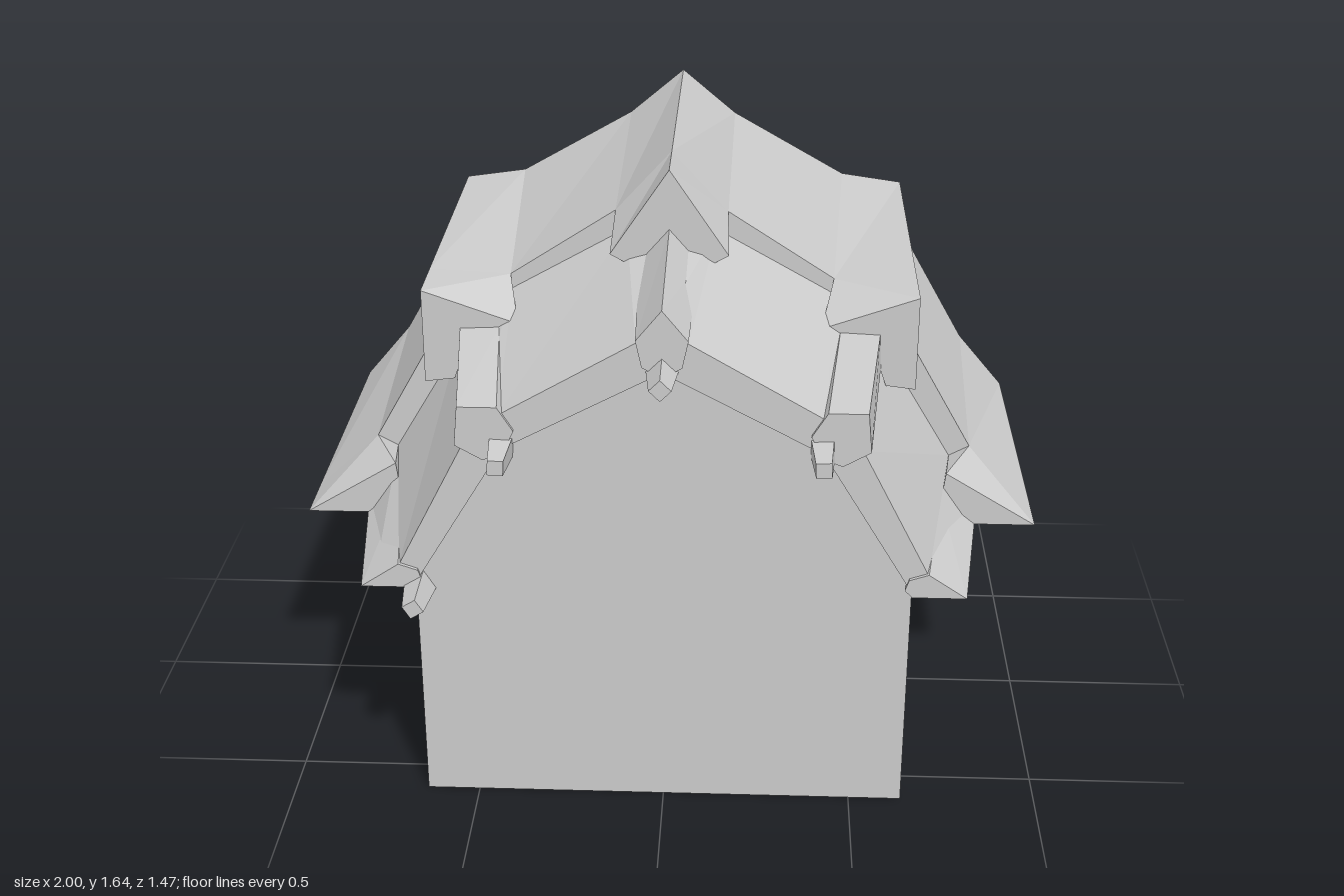
import * as THREE from 'three';

const material = new THREE.MeshStandardMaterial({
  color: 0xcccccc, flatShading: true, side: THREE.DoubleSide,
});

// Full left-to-right section from the half on the +x side (ridge first)
const mirror = (half) => [...half.slice(1).reverse().map(([x, y]) => [-x, y]), ...half];
const flip = (pts) => pts.map(([x, y]) => [-x, y]);

function meshFrom(name, positions) {
  const geometry = new THREE.BufferGeometry();
  geometry.setAttribute('position', new THREE.Float32BufferAttribute(positions, 3));
  geometry.computeVertexNormals();
  const mesh = new THREE.Mesh(geometry, material);
  mesh.name = name;
  return mesh;
}

// Joins section a at depth za to section b at depth zb; closed sections get a front face
function loft(name, a, za, b, zb, closed = false) {
  const out = [];
  const n = a.length;
  for (let i = 0; i < (closed ? n : n - 1); i++) {
    const j = (i + 1) % n;
    out.push(...a[i], za, ...b[i], zb, ...b[j], zb);
    out.push(...a[i], za, ...b[j], zb, ...a[j], za);
  }
  if (closed) {
    const pts = a.map(([x, y]) => new THREE.Vector2(x, y));
    for (const tri of THREE.ShapeUtils.triangulateShape(pts, [])) {
      for (const k of tri) out.push(...a[k], za);
    }
  }
  return meshFrom(name, out);
}

export function createModel() {
  const group = new THREE.Group();

  // Half sections of the roof, ridge to eave
  const rearBack = mirror([[0, 1.64], [0.155, 1.51], [0.48, 1.325], [0.655, 1.3], [0.68, 1.125], [0.865, 0.8], [1, 0.64]]);
  const rearFront = mirror([[0, 1.64], [0.15, 1.475], [0.435, 1.29], [0.655, 1.3], [0.66, 1.09], [0.825, 0.8], [1, 0.64]]);
  const lowBack = mirror([[0, 1.46], [0.12, 1.425], [0.43, 1.25], [0.56, 1.16], [0.59, 1.07], [0.77, 0.77], [0.86, 0.64]]);
  const lowFront = mirror([[0, 1.38], [0.065, 1.33], [0.41, 1.13], [0.47, 1.1], [0.5, 1.05], [0.68, 0.7], [0.75, 0.64]]);
  const wallLine = mirror([[0, 1.25], [0.05, 1.225], [0.36, 1.06], [0.4, 1.04], [0.42, 1.01], [0.62, 0.68], [0.64, 0.64]]);

  // Roof shells, the step between them and the front edge
  group.add(loft('rearRoof', rearFront, 0.06, rearBack, -0.73));
  group.add(loft('roofStep', rearFront, 0.06, lowBack, 0.06));
  group.add(loft('frontRoof', lowFront, 0.62, lowBack, 0.06));
  group.add(loft('fascia', wallLine, 0.62, lowFront, 0.62));

  // Gable wall
  const outline = [[-0.64, 0], ...wallLine, [0.64, 0]].map(([x, y]) => new THREE.Vector2(x, y));
  const wall = new THREE.Mesh(new THREE.ShapeGeometry(new THREE.Shape(outline)), material);
  wall.name = 'gableWall';
  wall.position.z = 0.605;
  group.add(wall);

  // Ridge caps: large front end and the small cap ahead of it
  group.add(loft('ridgeCapEnd',
    [[0, 1.64], [0.155, 1.41], [0.11, 1.385], [0, 1.44], [-0.11, 1.385], [-0.155, 1.41]], 0.22,
    [[0, 1.64], [0.15, 1.475], [0.12, 1.42], [0, 1.46], [-0.12, 1.42], [-0.15, 1.475]], 0.06, true));
  group.add(loft('smallRidgeCap',
    [[0, 1.42], [0.065, 1.34], [0.05, 1.27], [0, 1.24], [-0.05, 1.27], [-0.065, 1.34]], 0.63,
    [[0, 1.48], [0.078, 1.39], [0.06, 1.35], [0, 1.33], [-0.06, 1.35], [-0.078, 1.39]], 0.22, true));

  // Hip and eave caps, as closed sections on the +x side: [name, front, z, back, z]
  const sideCaps = [
    ['hipCapEnd',
      [[0.655, 1.3], [0.4, 1.21], [0.43, 1.18], [0.54, 1.15], [0.575, 1.05], [0.655, 1.04]], 0.22,
      [[0.655, 1.3], [0.435, 1.29], [0.43, 1.23], [0.55, 1.16], [0.6, 1.07], [0.66, 1.09]], 0.06],
    ['smallHipCap',
      [[0.51, 1.155], [0.41, 1.155], [0.37, 1.09], [0.4, 1.03], [0.45, 1.01], [0.52, 1.05]], 0.63,
      [[0.555, 1.195], [0.45, 1.2], [0.42, 1.15], [0.45, 1.1], [0.5, 1.06], [0.56, 1.1]], 0.22],
    ['eaveCapEnd',
      [[1, 0.64], [0.75, 0.792], [0.745, 0.75], [0.69, 0.68], [0.68, 0.64]], 0.22,
      [[1, 0.64], [0.825, 0.8], [0.77, 0.77], [0.73, 0.7], [0.72, 0.64]], 0.06],
    ['smallEaveCap',
      [[0.78, 0.64], [0.68, 0.707], [0.63, 0.69], [0.62, 0.66], [0.64, 0.64]], 0.63,
      [[0.835, 0.64], [0.74, 0.717], [0.7, 0.71], [0.68, 0.66], [0.69, 0.64]], 0.22],
  ];
  for (const [name, a, za, b, zb] of sideCaps) {
    group.add(loft(name + 'Left', a, za, b, zb, true));
    group.add(loft(name + 'Right', flip(a), za, flip(b), zb, true));
  }

  // Tapered square beam ends under the caps: [x, y, turn]
  const pegs = [[0, 1.255, Math.PI / 4], [0.4, 1.05, 0.05], [-0.405, 1.04, -0.05], [-0.63, 0.635, 0.55]];
  for (const [x, y, turn] of pegs) {
    const geometry = new THREE.CylinderGeometry(0.028, 0.043, 0.14, 4);
    geometry.rotateY(Math.PI / 4).rotateX(Math.PI / 2).rotateZ(turn);
    const peg = new THREE.Mesh(geometry, material);
    peg.name = 'beamEnd';
    peg.position.set(x, y, 0.665);
    group.add(peg);
  }
  return group;
}
